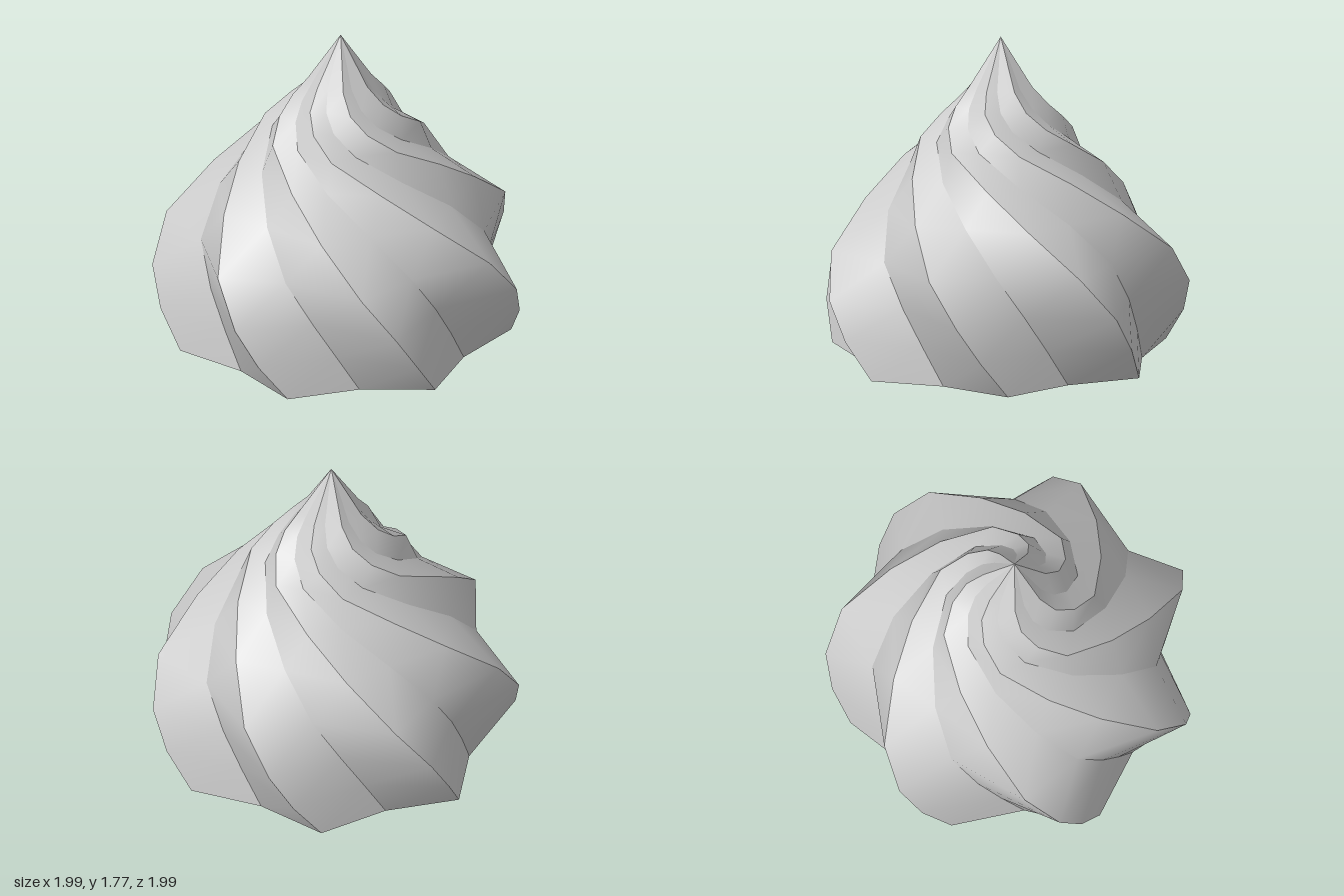
import * as THREE from 'three';

const LOBES = 7;
const AXIS = [0.025, 0.01];

// Rings: height, ridge angle and radius, groove angle and radius (degrees, from +x towards +z)
const RINGS = [
  [0.00, 57.5, 0.93, 32, 0.78],
  [0.20, 66, 1.00, 41, 0.785],
  [0.40, 73.5, 1.025, 50.3, 0.795],
  [0.63, 84, 0.95, 61.7, 0.79],
  [0.86, 99, 0.735, 76.8, 0.657],
  [1.05, 119, 0.56, 99.3, 0.495],
  [1.21, 149, 0.435, 130, 0.37],
  [1.31, 168, 0.34, 150, 0.285],
  [1.40, 182, 0.26, 163, 0.22],
  [1.50, 189, 0.175, 170, 0.152],
  [1.77, 195, 0, 175, 0],
];

function linePoint(y, degrees, radius, lobe) {
  const a = THREE.MathUtils.degToRad(degrees + (lobe * 360) / LOBES);
  return [AXIS[0] + radius * Math.cos(a), y, AXIS[1] + radius * Math.sin(a)];
}
const ridge = (lobe) => RINGS.map(([y, a, r]) => linePoint(y, a, r, lobe));
const groove = (lobe) => RINGS.map(([y, , , a, r]) => linePoint(y, a, r, lobe));

// Ribbon between two twisting lines: smooth along its length, sharp at its borders
function ribbon(from, to) {
  const positions = [];
  const index = [];
  from.forEach((p, i) => {
    positions.push(...p, ...to[i]);
    if (i === 0) return;
    const k = (i - 1) * 2;
    index.push(k, k + 2, k + 1);
    if (i < from.length - 1) index.push(k + 1, k + 2, k + 3);
  });
  const geometry = new THREE.BufferGeometry();
  geometry.setAttribute('position', new THREE.Float32BufferAttribute(positions, 3));
  geometry.setIndex(index);
  geometry.computeVertexNormals();
  return geometry;
}

export function createModel() {
  const model = new THREE.Group();
  model.name = 'creamSwirl';
  // Hollow shell, open underneath
  const cream = new THREE.MeshStandardMaterial({ color: 0xcccccc, side: THREE.DoubleSide });

  for (let i = 0; i < LOBES; i++) {
    const lobe = new THREE.Group();
    lobe.name = 'lobe' + (i + 1);
    const rise = new THREE.Mesh(ribbon(groove(i), ridge(i)), cream);
    rise.name = 'lobeRise';
    const fall = new THREE.Mesh(ribbon(ridge(i), groove(i + 1)), cream);
    fall.name = 'lobeFall';
    lobe.add(rise, fall);
    model.add(lobe);
  }
  return model;
}
